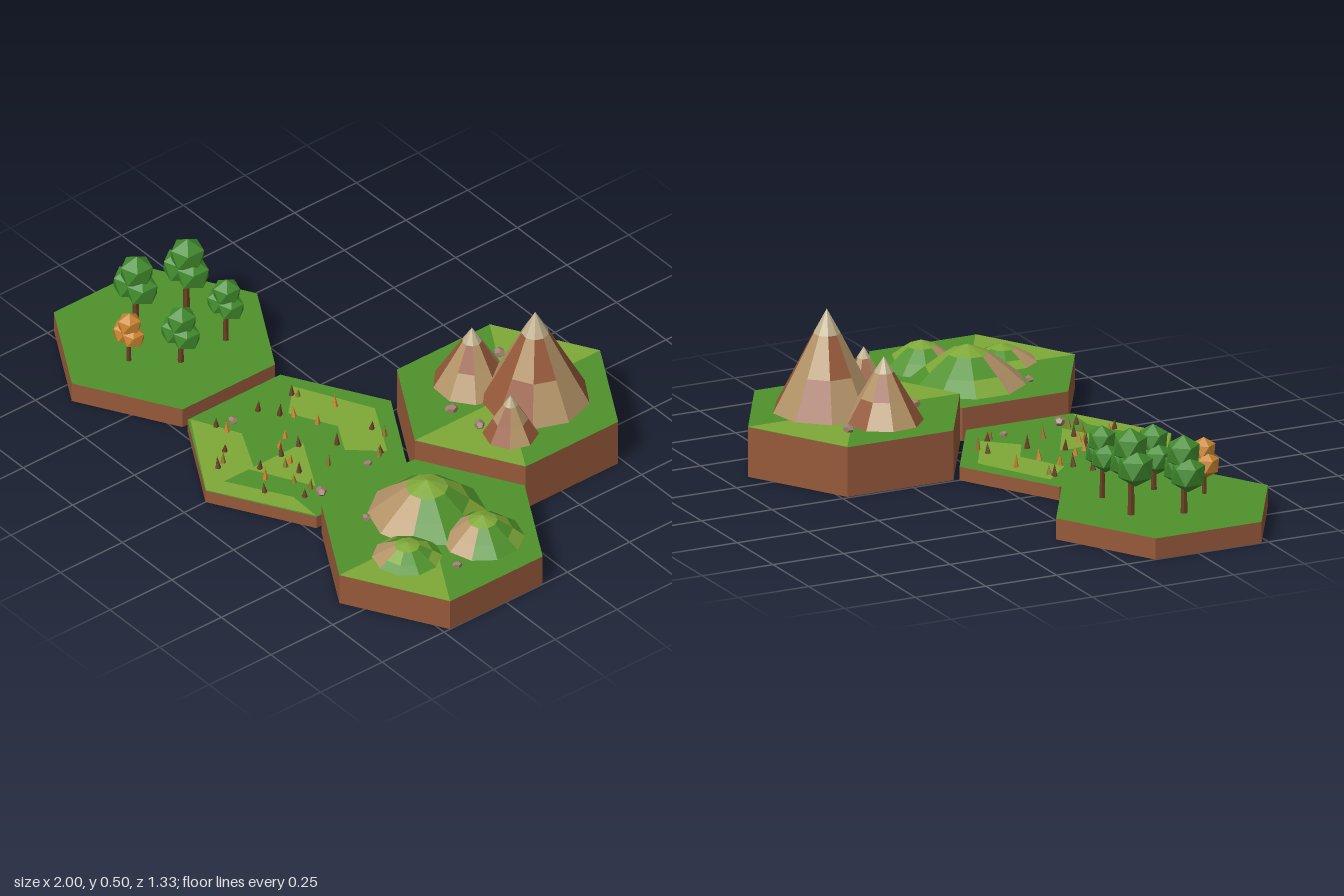
import * as THREE from 'three';

const paint = (name, color) => Object.assign(new THREE.MeshStandardMaterial({ color }), { name });
const soil = paint('soil brown', 0x96593a);
const grass = paint('grass green', 0x4f912b);
const lightGrass = paint('light grass', 0x7fa838);
const foliage = paint('foliage green', 0x408a2c);
const autumn = paint('autumn orange', 0xc98530);
const bark = paint('bark brown', 0x6b4024);
const rock = paint('rock tan', 0xb49468);
const snow = paint('pale peak', 0xc0b18e);
const stone = paint('stone', 0x9c7f6c);
const straw = paint('dry straw', 0x8f7a2c);

const R = 0.375;

// one normal per face, for the low-poly look
function facet(geometry) {
  const g = geometry.index ? geometry.toNonIndexed() : geometry;
  g.computeVertexNormals();
  return g;
}

function add(parent, name, geometry, material, x, y, z) {
  const mesh = new THREE.Mesh(facet(geometry), material);
  mesh.name = name;
  mesh.position.set(x, y, z);
  parent.add(mesh);
  return mesh;
}

// hexagonal tile with soil sides and a grass top; its contents sit on the top
function makeTile(root, name, x, z, height) {
  const tile = new THREE.Group();
  tile.name = name;
  tile.position.set(x, height, z);
  root.add(tile);
  add(tile, name + 'Base', new THREE.CylinderGeometry(R, R, height, 6), [soil, grass, soil], 0, -height / 2, 0);
  return tile;
}

// flat light patch on a tile, corners given as [x, z]
function addPatch(tile, corners) {
  const shape = new THREE.Shape(corners.map(([x, z]) => new THREE.Vector2(x, -z)));
  const g = new THREE.ShapeGeometry(shape).rotateX(-Math.PI / 2);
  add(tile, 'lightPatch', g, lightGrass, 0, 0.0015, 0);
}

// light triangle from the tile centre to one of its six edges
function addSector(tile, k) {
  const corner = (i) => [R * Math.sin(i * Math.PI / 3), R * Math.cos(i * Math.PI / 3)];
  addPatch(tile, [[0, 0], corner(k), corner(k + 1)]);
}

// turned solid whose quads are coloured by a rule (side, ring, angle) -> material index
function addMound(tile, name, x, z, radius, height, sides, profile, materials, rule, turn = 0) {
  const points = profile.map(([r, y]) => new THREE.Vector2(r * radius, y * height));
  const g = new THREE.LatheGeometry(points, sides, turn).toNonIndexed();
  const rings = points.length - 1;
  for (let i = 0; i < sides; i++) {
    let phi = THREE.MathUtils.radToDeg(turn + (i + 0.5) * 2 * Math.PI / sides);
    if (phi > 180) phi -= 360;
    for (let j = 0; j < rings; j++) g.addGroup((i * rings + j) * 6, 6, rule(i, j, phi));
  }
  add(tile, name, g, materials, x, 0, z);
}

function addStones(tile, list) {
  list.forEach(([x, z, r], i) => {
    const m = add(tile, 'stone', new THREE.DodecahedronGeometry(r), stone, x, r * 0.5, z);
    m.scale.set(1.1, 0.8, 0.9);
    m.rotation.y = i * 1.3;
  });
}

// trunk and three faceted leaf balls
function addTree(tile, x, z, top, s, leaf) {
  const tree = new THREE.Group();
  tree.name = 'tree';
  tree.position.set(x, 0, z);
  tile.add(tree);
  const trunkHeight = top - 1.6 * s;
  add(tree, 'trunk', new THREE.CylinderGeometry(s * 0.13, s * 0.19, trunkHeight, 6), bark, 0, trunkHeight / 2, 0);
  const balls = [[0.08, 0.9, 0.92], [-0.45, 1.85, 0.95], [0.5, 1.8, 0.88]];
  for (const [dx, down, r] of balls) {
    const g = new THREE.IcosahedronGeometry(r * s, 0).rotateZ(0.5536);
    add(tree, 'leaves', g, leaf, dx * s, top - down * s, 0);
  }
}

export function createModel() {
  const root = new THREE.Group();
  root.name = 'hexTerrain';

  // forest
  const forest = makeTile(root, 'forestTile', -0.675, 0.288, 0.07);
  addTree(forest, -0.07, -0.145, 0.285, 0.066, foliage);
  addTree(forest, 0.125, -0.148, 0.238, 0.053, foliage);
  addTree(forest, -0.13, 0.012, 0.255, 0.064, foliage);
  addTree(forest, 0.125, 0.034, 0.215, 0.056, foliage);
  addTree(forest, 0.017, 0.158, 0.185, 0.045, autumn);

  // plain with grass patches and dry tufts
  const plain = makeTile(root, 'plainTile', 0, 0.288, 0.045);
  addPatch(plain, [[-0.25, -0.18], [0, -0.31], [0, -0.16], [-0.15, -0.08]]);
  addPatch(plain, [[0, -0.31], [0.2, -0.2], [0.11, -0.1], [0, -0.16]]);
  addPatch(plain, [[-0.32, 0.18], [-0.16, 0.1], [0, 0.18], [0, R - 0.002]]);
  addPatch(plain, [[0, -0.02], [0.2, 0.09], [0, 0.2]]);
  addPatch(plain, [[0, R - 0.002], [0, 0.3], [0.2, 0.18], [0.32, 0.185]]);
  const tufts = [
    [-0.2, -0.16], [-0.22, -0.15], [-0.09, -0.22], [0.08, -0.235], [0.13, -0.245], [0.19, -0.18],
    [-0.05, -0.12], [0.07, -0.1], [0.2, -0.165], [-0.22, -0.015], [-0.06, 0.005], [0, 0], [0.14, -0.01],
    [-0.24, 0.14], [-0.2, 0.13], [-0.12, 0.2], [-0.08, 0.24], [0.005, 0.075], [0.055, 0.075],
    [0.11, 0.085], [0.14, 0.13], [0.02, 0.17], [0.07, 0.19], [0.12, 0.235], [0.2, 0.11], [0.22, 0.15],
    [-0.13, -0.085], [-0.16, -0.055], [0.06, 0.1], [-0.07, 0.27], [-0.03, 0.05],
  ];
  tufts.forEach(([x, z], i) => {
    const h = 0.032 + (i * 7 % 5) * 0.004;
    const m = add(plain, 'tuft', new THREE.ConeGeometry(0.01, h, 5), [straw, bark, autumn, bark][i % 4], x, h / 2, z);
    m.rotation.z = (i % 3 - 1) * 0.12;
  });
  addStones(plain, [[-0.225, 0.085, 0.016], [0.215, -0.11, 0.013], [0.24, 0.1, 0.02]]);

  // hills with bare slopes facing the front
  const hills = makeTile(root, 'hillsTile', 0.675, 0.288, 0.11);
  addSector(hills, 0);
  const dome = [[1, 0], [0.72, 0.36], [0.36, 0.78], [0, 1]];
  const slope = (from, to) => (i, j, phi) => {
    if (j < 2 && phi > from && phi < to) return 2;
    return j === 2 || (i * 3 + j * 5) % 4 === 1 ? 1 : 0;
  };
  const hillPaint = [grass, lightGrass, rock];
  addMound(hills, 'largeHill', -0.088, -0.05, 0.188, 0.125, 10, dome, hillPaint, slope(-75, 45));
  addMound(hills, 'middleHill', 0.125, -0.105, 0.132, 0.085, 10, dome, hillPaint, slope(-60, 30));
  addMound(hills, 'smallHill', 0.055, 0.145, 0.112, 0.055, 10, dome, hillPaint, slope(-80, 10));
  addStones(hills, [[-0.175, 0.125, 0.015], [0.197, 0.055, 0.015]]);

  // mountains with pale tips and mixed rock faces
  const peaks = makeTile(root, 'mountainTile', 0.333, -0.292, 0.165);
  addSector(peaks, 3);
  addSector(peaks, 0);
  const spire = [[1, 0], [0.62, 0.38], [0.25, 0.76], [0, 1]];
  const strata = (seed) => (i, j) => (j === 2 ? 2 : (i * 7 + j * 4 + seed) % 5 < 2 ? 1 : 0);
  const peakPaint = [rock, soil, snow];
  addMound(peaks, 'largePeak', 0.055, -0.068, 0.176, 0.333, 9, spire, peakPaint, strata(0), 0.15);
  addMound(peaks, 'middlePeak', -0.13, 0.04, 0.127, 0.212, 9, spire, peakPaint, strata(2), 0.3);
  addMound(peaks, 'smallPeak', 0.158, 0.115, 0.09, 0.15, 8, spire, peakPaint, strata(1), 0.1);
  addStones(peaks, [[-0.183, -0.113, 0.02], [-0.048, 0.188, 0.02], [0.07, 0.17, 0.019]]);

  return root;
}
